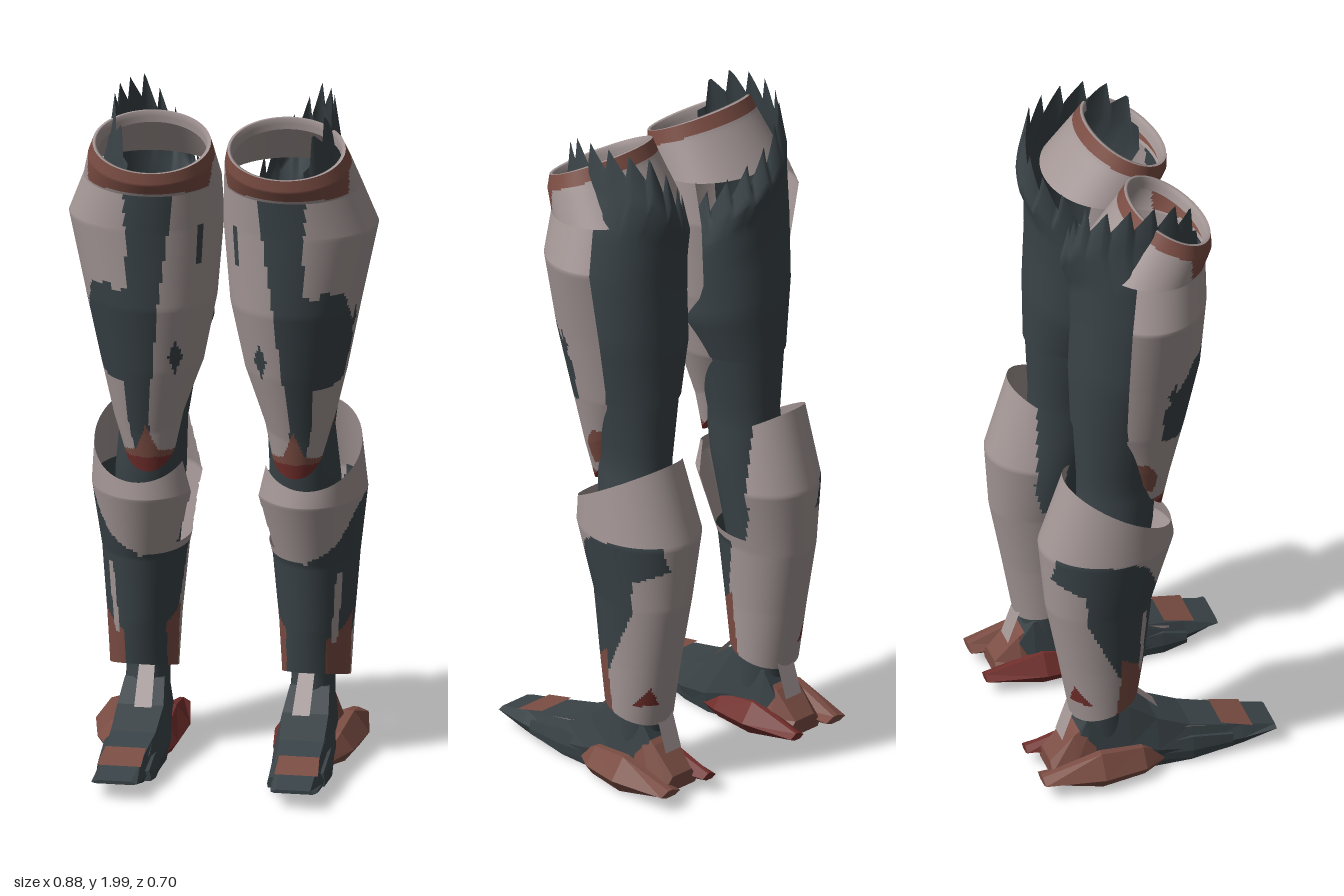
import * as THREE from 'three';

const mat = (name, color) => Object.assign(
  new THREE.MeshStandardMaterial({ color, side: THREE.DoubleSide }), { name });
const LIGHT = 0, DARK = 1, RUST = 2, RED = 3, OPEN = -1;
const materials = [mat('warm grey plate', 0xa49796), mat('dark suit', 0x3a4347),
  mat('rust trim', 0x7b4d43), mat('deep red trim', 0x702e2b)];

// Linear interpolation between rows, and in a list of [key, value]
function sample(rows, t) {
  const k = Math.min(Math.floor(t), rows.length - 2), f = t - k;
  return rows[k].map((v, c) => v + (rows[k + 1][c] - v) * f);
}
function lookup(table, key) {
  let k = 0;
  while (k < table.length - 2 && key > table[k + 1][0]) k++;
  const [a, va] = table[k], [b, vb] = table[k + 1];
  return va + (vb - va) * THREE.MathUtils.clamp((key - a) / (b - a), 0, 1);
}
function inside(poly, u, v) {
  let hit = false;
  poly.forEach(([x1, y1], i) => {
    const [x2, y2] = poly[(i + 1) % poly.length];
    if ((y1 > v) !== (y2 > v) && u < x1 + (x2 - x1) * (v - y1) / (y2 - y1)) hit = !hit;
  });
  return hit;
}

// Skin a grid of points; paint(x, y, z) picks the colour of each face or leaves it open
function skin(name, grid, closed, side, paint) {
  const n = grid[0].length, pos = [], faces = materials.map(() => []);
  grid.forEach(row => row.forEach(p => pos.push(p[0] * side, p[1], p[2])));
  for (let i = 0; i < grid.length - 1; i++) for (let j = 0; j < (closed ? n : n - 1); j++) {
    const k = (j + 1) % n;
    const a = i * n + j, b = i * n + k, c = a + n, d = b + n;
    const mid = [0, 1, 2].map(q => (grid[i][j][q] + grid[i][k][q] + grid[i + 1][j][q] + grid[i + 1][k][q]) / 4);
    const colour = paint(...mid);
    if (colour !== OPEN) faces[colour].push(...(side > 0 ? [a, b, d, a, d, c] : [a, d, b, a, c, d]));
  }
  const geo = new THREE.BufferGeometry();
  geo.setAttribute('position', new THREE.Float32BufferAttribute(pos, 3));
  geo.setIndex(faces.flat());
  let start = 0;
  faces.forEach((f, m) => { if (f.length) geo.addGroup(start, f.length, m); start += f.length; });
  geo.computeVertexNormals();
  const mesh = new THREE.Mesh(geo, materials);
  mesh.name = name;
  return mesh;
}

// Upright shell; rows go up as [y, tilt, cx, cz, rx, rz], angle 0 is front, 90 outer, 180 back
function shell(name, side, rows, from, to, steps, paint, warp = y => y) {
  const closed = to - from === 360, cols = Math.round((to - from) / 3), grid = [];
  for (let i = 0; i <= steps; i++) {
    const [y, tilt, cx, cz, rx, rz] = sample(rows, i / steps * (rows.length - 1));
    const row = [];
    for (let j = 0; j < (closed ? cols : cols + 1); j++) {
      const deg = from + (to - from) * j / cols, a = deg * Math.PI / 180;
      row.push([cx + rx * Math.sin(a), warp(y + tilt * (1 - Math.cos(a)) / 2, deg), cz + rz * Math.cos(a)]);
    }
    grid.push(row);
  }
  return skin(name, grid, closed, side, paint);
}

// Faceted block along z; rows are [z, cx, width, bottom, top], with width ratios for top and bottom
function block(name, side, rows, colour, kTop = 0.6, kBottom = 0.85) {
  const ring = ([z, cx, w, y0, y1]) => {
    const h = w / 2, m = y0 + (y1 - y0) * 0.4;
    return [[h * kBottom, y0], [h, m], [h * kTop, y1], [-h * kTop, y1], [-h, m], [-h * kBottom, y0]]
      .map(p => [cx + p[0], p[1], z]);
  };
  const cap = ([z, cx, , y0, y1]) => Array(6).fill([cx, (y0 + y1) / 2, z]);
  const grid = [cap(rows[0]), ...rows.map(ring), cap(rows[rows.length - 1])];
  const mesh = skin(name, grid, true, side, () => colour);
  mesh.geometry = mesh.geometry.toNonIndexed();
  mesh.geometry.computeVertexNormals();
  return mesh;
}

// Thin plate between four corners
const plate = (name, side, [a, b, c, d], colour) => skin(name, [[a, b], [d, c]], false, side, () => colour);

// Painted areas: front ones in (x, y), side ones in (z, y)
const thighPatch = [[.12, 1.76], [.26, 1.76], [.25, 1.47], [.29, 1.45], [.3, 1.475], [.36, 1.465], [.372, 1.4],
  [.37, 1.2], [.32, 1.17], [.27, 1.16], [.262, 1.05], [.245, .95], [.2, .95], [.2, 1.1], [.185, 1.2], [.165, 1.4], [.14, 1.6]];
const diamond = [[.1, 1.25], [.12, 1.3], [.14, 1.25], [.125, 1.19]];
const slit = [[.045, 1.65], [.06, 1.65], [.065, 1.53], [.05, 1.53]];
const sideNick = [[.03, 1.41], [.005, 1.37], [.02, 1.34], [.035, 1.36]];
const kneeTip = [[.1, .8], [.1, .93], [.18, .95], [.21, 1.03], [.24, .95], [.32, .93], [.32, .8]];
const kneeScuff = [[-.01, .97], [0, 1.04], [-.03, 1.09], [-.08, 1.1], [-.08, 1]];
const shinPatch = [[.14, .62], [.36, .6], [.31, .42], [.285, .26], [.17, .26], [.15, .33]];
const innerShin = [[.05, .62], [-.14, .62], [-.11, .45], [-.07, .3], [.05, .3]];
const innerGap = [[-.02, .9], [-.05, .64], [-.2, .64], [-.225, .75], [-.2, 1.1], [-.02, 1.1]];
const calfHole = [[.02, .6], [-.05, .77], [-.1, .8], [-.3, .81], [-.31, .73], [-.23, .69], [-.22, .58], [-.13, .38], [-.02, .34]];
const calfStrip = [[-.035, .58], [-.055, .58], [-.06, .36], [-.045, .36]];
const shinRust = [[-.02, .2], [-.14, .2], [-.125, .34], [-.12, .44], [-.02, .36]];
const heelMark = [[.27, .28], [.3, .34], [.33, .28]];

function paintThigh(x, y, z) {
  if (inside(kneeTip, x, y) && z > -.02) return y < .925 ? RED : RUST;
  if (z > 0 && [thighPatch, diamond, slit].some(p => inside(p, x, y))) return DARK;
  if (x > .3 && inside(sideNick, z, y)) return DARK;
  return x > .25 && inside(kneeScuff, z, y) ? RUST : LIGHT;
}
function paintCalf(x, y, z) {
  if (x < .18 && inside(innerGap, z, y)) return OPEN;
  if (x > .3 && inside(calfStrip, z, y)) return LIGHT;
  if (inside(shinRust, z, y) && (x > .285 || x < .17)) return RUST;
  if (x > .24 && inside(calfHole, z, y)) return DARK;
  if (x < .2 && inside(innerShin, z, y)) return DARK;
  if (z > -.13 && inside(shinPatch, x, y)) return DARK;
  return z < -.18 && inside(heelMark, x, y) ? RED : LIGHT;
}

function makeLeg(side) {
  const leg = new THREE.Group();
  leg.name = side > 0 ? 'leftLeg' : 'rightLeg';

  // Thigh suit with a torn upper edge
  const tear = [[30, 1.87], [45, 1.95], [70, 1.99], [100, 2], [150, 1.99], [172, 1.93], [195, 1.87], [225, 1.8], [285, 1.65]];
  leg.add(shell('thighSuit', side, [
    [1.2, 0, .205, -.07, .13, .15], [1.4, 0, .2, -.06, .165, .162], [1.6, 0, .2, -.05, .168, .165],
    [1.75, 0, .195, -.05, .16, .168], [1.87, 0, .19, -.04, .137, .207], [2, 0, .19, -.03, .12, .19],
  ], 30, 286, 25, () => DARK, (y, deg) => {
    const f = (y - 1.2) / .8;
    return 1.2 + f * (lookup(tear, deg) - 1.2) - f ** 6 * .08 * ((deg / 21) % 1);
  }));

  // Knee, shin and ankle suit
  leg.add(shell('kneeSuit', side, [
    [.1, 0, .235, -.13, .065, .085], [.28, 0, .235, -.15, .06, .07], [.6, 0, .235, -.14, .09, .11],
    [.85, 0, .22, -.1, .1, .11], [1, 0, .21, -.09, .095, .115], [1.22, 0, .205, -.07, .128, .145],
  ], 0, 360, 20, () => DARK));

  // Thigh armour and its tilted collar
  leg.add(shell('thighPlate', side, [
    [.88, .16, .21, -.03, .075, .07], [1, .1, .215, -.03, .1, .09], [1.2, 0, .205, -.03, .145, .14],
    [1.4, 0, .205, -.02, .185, .17], [1.64, 0, .22, -.02, .22, .18], [1.75, .02, .2, 0, .195, .165],
  ], -120, 120, 110, paintThigh));
  const collar = [[1.75, .02, .2, 0, .195, .165], [1.79, .1, .195, .055, .18, .13], [1.825, .11, .192, .068, .168, .115]];
  leg.add(shell('thighCollar', side, collar, 0, 360, 18,
    (x, y, z) => (z > .08 && y > 1.76) || y > 1.868 - z * .48 ? RUST : LIGHT));
  leg.add(shell('collarRim', side, [collar[2], [1.825, .11, .192, .068, .158, .105], [1.79, .11, .192, .06, .155, .1]],
    0, 360, 4, () => LIGHT));

  // Calf armour, open at top, bottom and inner side
  leg.add(shell('calfGuard', side, [
    [.27, -.06, .245, -.142, .097, .098], [.4, 0, .245, -.148, .106, .125], [.6, 0, .243, -.155, .123, .155],
    [.8, 0, .233, -.13, .158, .195], [.85, .18, .24, -.1, .14, .155],
  ], 0, 360, 100, paintCalf));

  // Foot
  leg.add(block('foot', side, [
    [-.26, .235, .11, .03, .1], [-.2, .235, .13, .02, .2], [-.08, .235, .15, .01, .22], [0, .235, .175, .005, .165],
    [.1, .24, .17, .005, .12], [.25, .25, .145, .025, .085], [.35, .255, .13, .052, .062],
  ], DARK, .75));
  leg.add(block('outerToeRidge', side, [[-.02, .3, .03, .03, .08], [.1, .31, .04, .02, .09], [.22, .315, .02, .03, .07]], DARK));
  leg.add(block('innerToeRidge', side, [[.05, .175, .03, .02, .07], [.18, .18, .04, .015, .08], [.25, .18, .03, .03, .06]], DARK));
  leg.add(plate('toePanel', side, [[.19, .082, .28], [.315, .082, .28], [.305, .106, .19], [.19, .106, .19]], RUST));
  [.305, .18].forEach(x => leg.add(plate('sideStripe', side,
    [[x, .085, .2], [x, .093, .2], [x, .137, .02], [x, .122, .02]], LIGHT)));
  leg.add(plate('anklePlate', side, [[.2, .165, .02], [.25, .165, .02], [.25, .26, -.07], [.205, .26, -.07]], LIGHT));
  leg.add(plate('heelStrap', side, [[.265, .13, -.27], [.205, .13, -.27], [.205, .27, -.222], [.265, .27, -.222]], LIGHT));

  // Split heel guard with sharp outer edges
  leg.add(block('outerHeelProng', side, [[-.35, .323, .075, .045, .065], [-.18, .335, .11, .012, .115], [-.05, .32, .09, .012, .095],
    [.03, .295, .03, .02, .05]], RUST, .2, .45));
  leg.add(block('innerHeelProng', side, [[-.35, .172, .05, .045, .065], [-.18, .17, .1, .012, .105], [-.05, .17, .07, .012, .085],
    [.03, .175, .03, .02, .05]], RED, .2, .45));
  leg.add(block('heelCap', side, [[-.31, .24, .12, .03, .075], [-.24, .24, .14, .02, .15], [-.18, .24, .13, .015, .19]], RUST));
  return leg;
}

export function createModel() {
  const model = new THREE.Group();
  model.name = 'armouredLegs';
  model.add(makeLeg(1), makeLeg(-1));
  return model;
}
